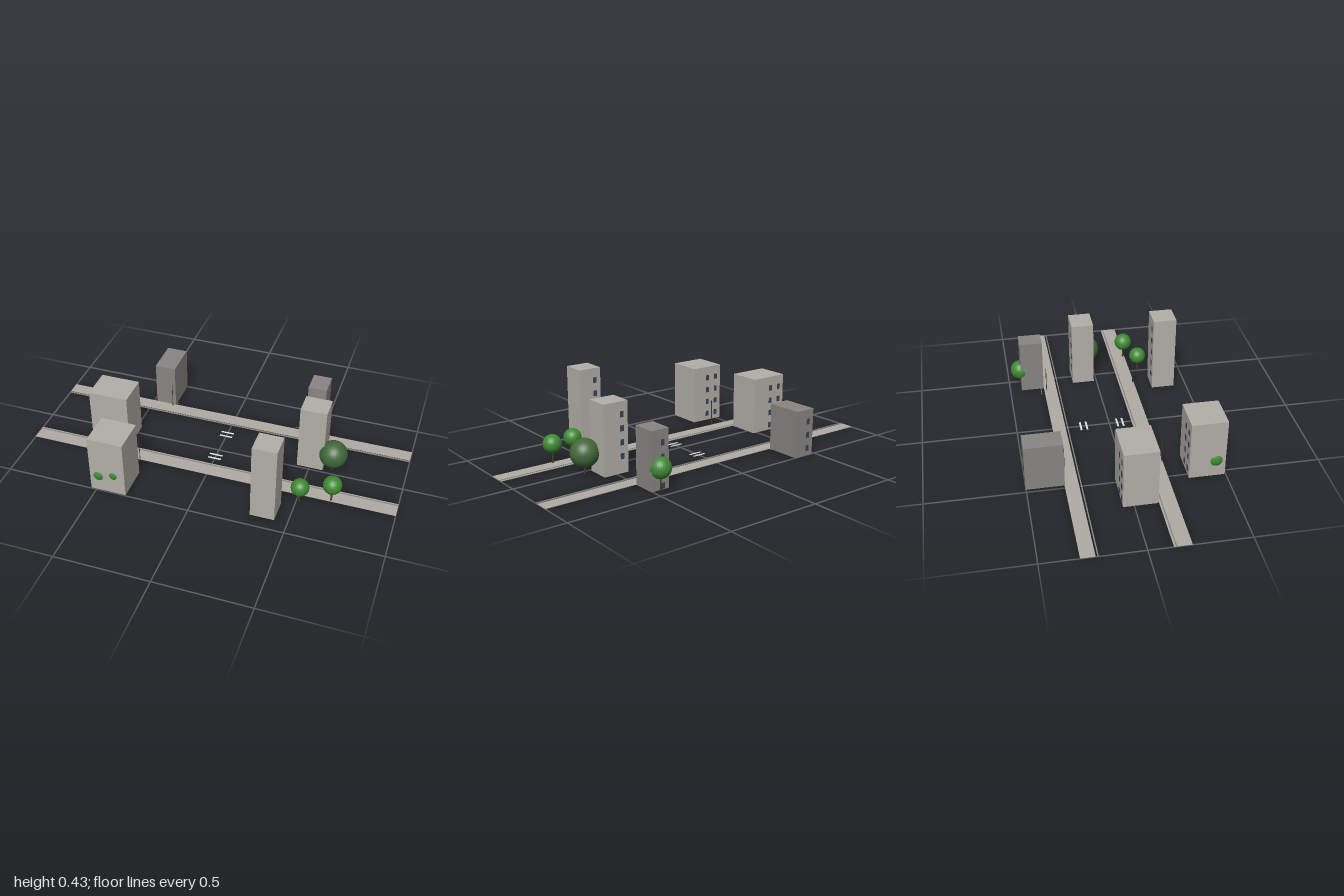
import * as THREE from 'three';

const mat = (name, color, extra = {}) => {
  const m = new THREE.MeshStandardMaterial({ color, ...extra });
  m.name = name;
  return m;
};

export function createModel() {
  const stone = mat('pale stone', 0xb3aea8);
  const darkStone = mat('dark stone', 0x888682);
  const paving = mat('paving', 0xb0aba4);
  const curbGrey = mat('curb grey', 0x8a8884);
  const glass = mat('window blue', 0x3a4258);
  const paint = mat('road paint', 0xe4e4e0);
  const leaf = mat('leaf green', 0x3f8a34, { flatShading: true });
  const deepLeaf = mat('deep leaf green', 0x41683a, { flatShading: true });
  const bark = mat('bark', 0x4a3a2c);
  const metal = mat('lamp metal', 0x3c3f42);

  const model = new THREE.Group();
  model.name = 'streetBlock';

  const add = (parent, name, geometry, material, x, y, z) => {
    const mesh = new THREE.Mesh(geometry, material);
    mesh.name = name;
    mesh.position.set(x, y, z);
    parent.add(mesh);
    return mesh;
  };
  // Box given by its ranges, standing on y = y0
  const block = (parent, name, material, x0, x1, z0, z1, h, y0 = 0) =>
    add(parent, name, new THREE.BoxGeometry(x1 - x0, h, z1 - z0), material,
      (x0 + x1) / 2, y0 + h / 2, (z0 + z1) / 2);

  // Buildings: x range, z range, height, window columns, window rows
  const buildings = [
    [-0.69, -0.475, -0.055, 0.12, 0.31, 2, 4, stone],
    [-0.53, -0.34, 0.31, 0.495, 0.32, 2, 4, stone],
    [0.305, 0.432, 0.303, 0.43, 0.43, 1, 5, stone],
    [0.432, 0.572, -0.137, -0.015, 0.37, 1, 4, stone],
    [0.405, 0.505, -0.435, -0.31, 0.30, 1, 4, darkStone],
    [-0.48, -0.365, -0.503, -0.308, 0.25, 1, 3, darkStone],
  ];
  for (const [x0, x1, z0, z1, h, cols, rows, material] of buildings) {
    const house = new THREE.Group();
    house.name = 'building';
    block(house, 'walls', material, x0, x1, z0, z1, h);
    // Windows on the rear wall
    for (let c = 0; c < cols; c++) {
      for (let r = 0; r < rows; r++) {
        const x = x0 + 0.035 + c * 0.06;
        const y = h - 0.065 - r * 0.072;
        block(house, 'window', glass, x - 0.01, x + 0.01, z0 - 0.002, z0 + 0.002, 0.03, y - 0.015);
      }
    }
    model.add(house);
  }

  // Pavements and curbs on both sides of the street
  block(model, 'backPavement', paving, -1, 1, -0.31, -0.239, 0.003);
  block(model, 'frontPavement', paving, -1, 1, 0.122, 0.21, 0.003);
  for (const z of [-0.228, 0.134]) {
    block(model, 'curb', curbGrey, -1, 1, z - 0.003, z + 0.003, 0.005);
  }

  // Painted road stripes
  for (const z of [-0.157, -0.125, 0.043, 0.073]) {
    block(model, 'roadStripe', paint, -0.037, 0.035, z - 0.005, z + 0.005, 0.002);
  }

  // Lamp posts, with thin ground strips behind the rear pair
  for (const x of [-0.38, 0.375]) {
    for (const z of [-0.297, 0.203]) {
      add(model, 'lampPost', new THREE.CylinderGeometry(0.002, 0.002, 0.15, 8), metal, x, 0.075, z);
    }
    block(model, 'groundStrip', curbGrey, x - 0.03, x + 0.03, -0.329, -0.325, 0.002);
  }

  // Trees: x, crown height, z, crown radius
  const trees = [
    [0.62, 0.11, -0.032, 0.074, deepLeaf],
    [0.515, 0.095, 0.257, 0.047, leaf],
    [0.668, 0.105, 0.2, 0.049, leaf],
    [0.453, 0.112, -0.435, 0.054, leaf],
    [-0.485, 0.09, 0.447, 0.055, leaf],
    [-0.402, 0.11, 0.45, 0.05, leaf],
  ];
  for (const [x, y, z, r, material] of trees) {
    const tree = new THREE.Group();
    tree.name = 'tree';
    add(tree, 'trunk', new THREE.CylinderGeometry(0.004, 0.005, y, 8), bark, x, y / 2, z);
    add(tree, 'crown', new THREE.SphereGeometry(r, 32, 24), material, x, y, z);
    model.add(tree);
  }

  return model;
}
